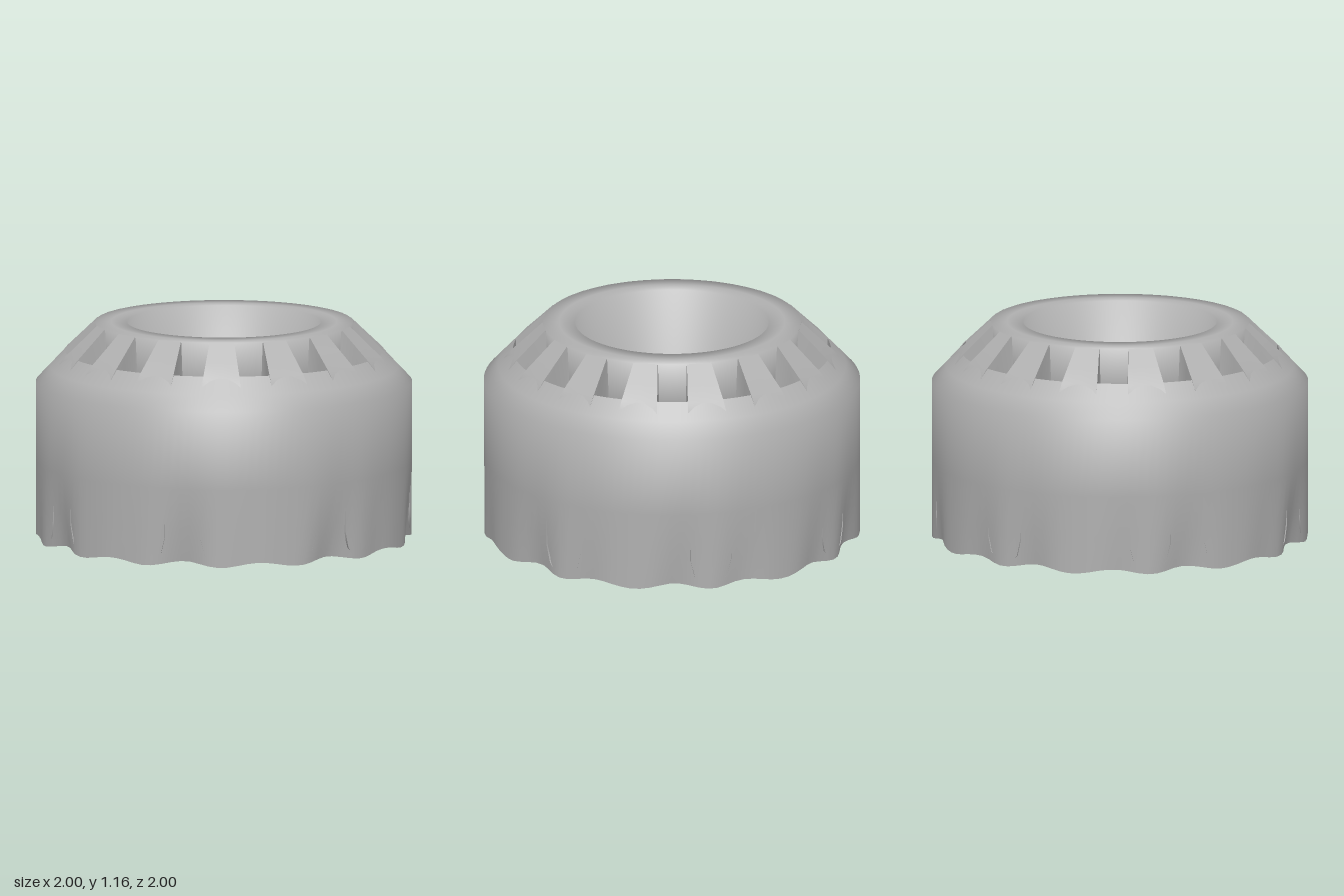
import * as THREE from 'three';
import { toCreasedNormals } from 'three/addons/utils/BufferGeometryUtils.js';

const SLOTS = 15;
const SLOT_START = THREE.MathUtils.degToRad(4);
const PITCH = (Math.PI * 2) / SLOTS;

const metal = new THREE.MeshStandardMaterial({ color: 0xb0b0b0, side: THREE.DoubleSide });
metal.name = 'greyMetal';

// Build a smooth skin from a grid of points; rows always wrap, columns may
function grid(point, cols, rows, wrapCols, crease) {
  const pos = [], index = [];
  for (let i = 0; i < cols; i++) for (let j = 0; j < rows; j++) pos.push(...point(i, j));
  const iEnd = wrapCols ? cols : cols - 1;
  for (let i = 0; i < iEnd; i++) {
    for (let j = 0; j < rows; j++) {
      const i2 = (i + 1) % cols, j2 = (j + 1) % rows;
      const a = i * rows + j, b = i2 * rows + j, c = i2 * rows + j2, d = i * rows + j2;
      index.push(a, b, c, a, c, d);
    }
  }
  const geo = new THREE.BufferGeometry();
  geo.setAttribute('position', new THREE.Float32BufferAttribute(pos, 3));
  geo.setIndex(index);
  return toCreasedNormals(geo, crease);
}

// Revolve a closed profile that may change with the angle
function revolve(profile, crease) {
  const cols = 120;
  const rings = Array.from({ length: cols }, (_, i) => profile((i / cols) * Math.PI * 2));
  return grid((i, j) => {
    const t = (i / cols) * Math.PI * 2;
    const [r, y] = rings[i][j];
    return [Math.sin(t) * r, y, Math.cos(t) * r];
  }, cols, rings[0].length, true, crease);
}

// 0 to 1 wave round the wheel, 1 at the first slot
const wave = (t, count) => 0.5 + 0.5 * Math.cos(count * (t - SLOT_START));

// Outer drum: wall, sloping shoulder, slot lip, and a dented foot with a thin edge
function shellProfile(t) {
  const s = wave(t, SLOTS);
  const dent = 0.055 * s * wave(t, 7);
  const foot = 0.025 * s;
  return [
    [1 - dent, foot],
    [1 - dent * 0.45, 0.2],
    [1, 0.42],
    [1, 0.84],
    [0.925, 0.92],
    [0.845, 1.005],
    [0.845, 0.7],
    [0.88, 0.4],
    [0.92, 0.18],
    [0.985 - dent, foot + 0.005],
  ];
}

// Inner body: flat crown, bore, dished floor with a square hole, and the underside
function coreProfile(t) {
  const square = 0.09 / Math.max(Math.abs(Math.sin(t)), Math.abs(Math.cos(t)));
  return [
    [0.685, 1.16],
    [0.6, 1.16],
    [0.515, 1.16],
    [0.51, 0.74],
    [0.3, 0.53],
    [0.15, 0.38],
    [square, 0.33],
    [square, 0.06],
    [0.3, 0.09],
    [0.45, 0.2],
    [0.58, 0.38],
    [0.66, 0.68],
    [0.675, 0.95],
  ];
}

// Leaf-shaped rib stations from hub to drum: radius, top, bottom, half width
const RIB = [
  [0.16, 0.2, 0.06, 0.015],
  [0.3, 0.34, 0.045, 0.048],
  [0.5, 0.5, 0.03, 0.075],
  [0.6, 0.8, 0.025, 0.08],
  [0.66, 1.1, 0.025, 0.072],
  [0.685, 1.16, 0.022, 0.066],
  [0.77, 1.077, 0.018, 0.082],
  [0.85, 1.0, 0.015, 0.097],
  [0.93, 0.9, 0.01, 0.11],
  [0.985, 0.5, 0.006, 0.11],
];

function ribGeometry() {
  return grid((i, j) => {
    const [r, top, bottom, w] = RIB[i];
    const ring = [
      [-w, top], [0, top], [w, top], [w, bottom + 0.15], [w * 0.8, bottom + 0.06],
      [w * 0.45, bottom + 0.015], [0, bottom], [-w * 0.45, bottom + 0.015],
      [-w * 0.8, bottom + 0.06], [-w, bottom + 0.15],
    ];
    return [ring[j][0], ring[j][1], r];
  }, RIB.length, 10, false, 1.2);
}

export function createModel() {
  const model = new THREE.Group();
  model.name = 'slottedWheel';
  const add = (name, geometry) => {
    const mesh = new THREE.Mesh(geometry, metal);
    mesh.name = name;
    model.add(mesh);
    return mesh;
  };

  add('outerDrum', revolve(shellProfile, 0.95));
  add('coreWithBore', revolve(coreProfile, 1.65));

  // Radial ribs between the slots
  const rib = ribGeometry();
  for (let k = 0; k < SLOTS; k++) {
    add('rib', rib).rotation.y = SLOT_START + (k + 0.5) * PITCH;
  }
  return model;
}
